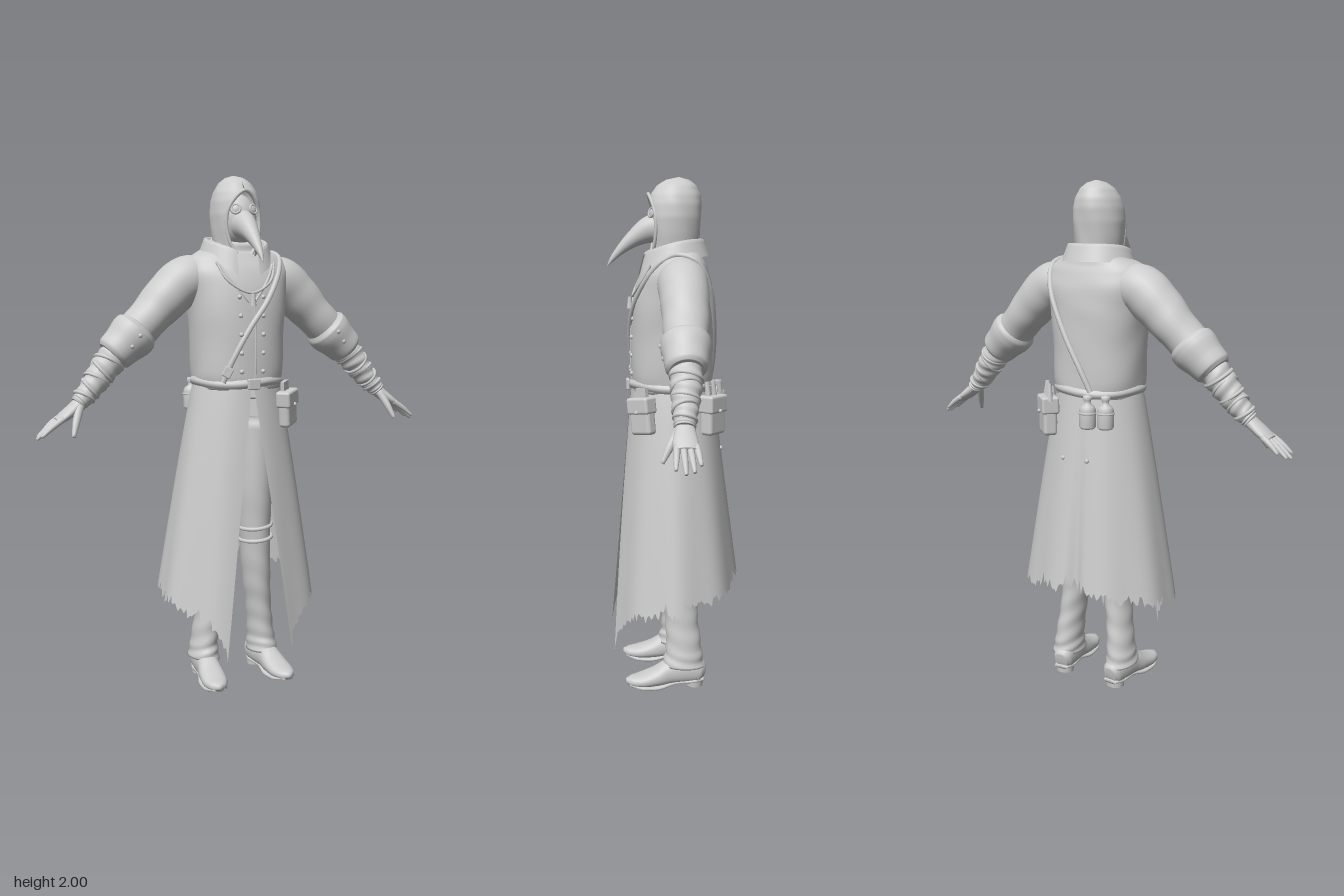
import * as THREE from 'three';
import { mergeVertices } from 'three/addons/utils/BufferGeometryUtils.js';
import { RoundedBoxGeometry } from 'three/addons/geometries/RoundedBoxGeometry.js';

const V = (x, y, z) => new THREE.Vector3(x, y, z);
const TAU = Math.PI * 2;
const clay = new THREE.MeshStandardMaterial({ color: 0xcccccc, side: THREE.DoubleSide });
clay.name = 'light grey';

// Small seeded generator for the torn hem
let seed = 11;
const rnd = () => (seed = (seed * 16807) % 2147483647) / 2147483647;

// Linear lookup in rows sorted by their first value
function lookup(rows, k) {
  const up = rows[0][0] < rows[rows.length - 1][0];
  let i = 0;
  while (i < rows.length - 2 && (up ? k > rows[i + 1][0] : k < rows[i + 1][0])) i++;
  const a = rows[i], b = rows[i + 1];
  const t = THREE.MathUtils.clamp((k - a[0]) / (b[0] - a[0]), 0, 1);
  return a.map((v, j) => v + (b[j] - v) * t);
}

// Grid surface from f(u, v), both 0..1
function sheet(nu, nv, f) {
  const pos = [], idx = [];
  for (let i = 0; i <= nu; i++) for (let j = 0; j <= nv; j++) pos.push(...f(i / nu, j / nv).toArray());
  for (let i = 0; i < nu; i++) for (let j = 0; j < nv; j++) {
    const a = i * (nv + 1) + j, b = a + nv + 1;
    idx.push(a, b, a + 1, b, b + 1, a + 1);
  }
  let g = new THREE.BufferGeometry();
  g.setAttribute('position', new THREE.Float32BufferAttribute(pos, 3));
  g.setIndex(idx);
  g = mergeVertices(g, 1e-5);
  g.computeVertexNormals();
  return g;
}

// Closed body swept through rows [x, y, z, a, b]; ref is the direction of radius b
function loft(rows, { ref = V(0, 0, 1), p = 2, nu = 32, nv = 28, fold = () => 1 } = {}) {
  const path = new THREE.CatmullRomCurve3(rows.map(r => V(r[0], r[1], r[2])));
  const radii = new THREE.CatmullRomCurve3(rows.map(r => V(r[3], r[4], 0)));
  const pw = c => Math.sign(c) * Math.abs(c) ** (2 / p);
  return sheet(nu + 2, nv, (u, v) => {
    const k = Math.round(u * (nu + 2)), t = THREE.MathUtils.clamp((k - 1) / nu, 0, 1);
    const c = path.getPoint(t);
    if (k === 0 || k === nu + 2) return c;
    const T = path.getTangent(t), N = ref.clone().addScaledVector(T, -T.dot(ref)).normalize();
    const B = T.clone().cross(N), r = radii.getPoint(t), th = (v % 1) * TAU, m = fold(t, th);
    return c.addScaledVector(B, r.x * m * pw(Math.cos(th))).addScaledVector(N, r.y * m * pw(Math.sin(th)));
  });
}

const cord = (pts, r, n = 40) => new THREE.TubeGeometry(new THREE.CatmullRomCurve3(pts), n, r, 8);

// Torso rows: y, half width, half depth, centre z
const TORSO = [[1.19, .17, .155, 0], [1.25, .179, .16, 0], [1.4, .184, .16, 0], [1.53, .196, .155, -.005],
  [1.62, .212, .138, -.015], [1.68, .2, .112, -.02], [1.72, .13, .095, -.02], [1.76, .08, .08, -.01]];
const onTorso = (phi, y, off = 0) => {
  const [, a, b, z] = lookup(TORSO, y), s = Math.sin(phi), c = Math.cos(phi), e = 2 / 2.3;
  return V((a + off) * Math.sign(s) * Math.abs(s) ** e, y, z + (b + off) * Math.sign(c) * Math.abs(c) ** e);
};

export function createModel() {
  const root = new THREE.Group();
  const add = (name, geo, pos = V(0, 0, 0), rot = [0, 0, 0]) => {
    const m = new THREE.Mesh(geo, clay);
    m.name = name; m.position.copy(pos); m.rotation.set(...rot);
    root.add(m);
    return m;
  };

  // Coat body
  add('coatBody', loft(TORSO.map(([y, a, b, z]) => [0, y, z, a, b]), { p: 2.3, nv: 48,
    fold: (u, th) => 1 + .006 * Math.sin(u * 30 + 3 * Math.sin(th * 2)) }));

  // Coat skirt, open at the front, with a torn hem
  const cols = 180, tear = [];
  for (let j = 0; j <= cols; j++) tear.push((rnd() - .5) * .035 + .022 * Math.abs(((j * .13) % 2) - 1) + (rnd() > .9 ? .035 : 0));
  add('coatSkirt', sheet(24, cols, (u, v) => {
    const d = 2 * Math.min(v, 1 - v);
    const hem = .3 + .15 * d - .14 * Math.exp(-d / .05) + tear[Math.round(v * cols)];
    const y = 1.21 + (hem - 1.21) * u, t = (1.21 - y) / .9;
    const rx = .172 + .16 * t ** .9;
    const gap = Math.asin((.004 + .115 * t) / rx), phi = gap + v * (TAU - 2 * gap);
    const back = Math.exp(-(((phi - Math.PI - .12) / .09) ** 2));
    const m = 1 + t * (.018 * Math.sin(phi * 9) - .1 * back);
    const rz = Math.cos(phi) > 0 ? .158 + .09 * t : .162 + .115 * t;
    return V(rx * m * Math.sin(phi), y, rz * m * Math.cos(phi));
  }));

  // Belt and buckle
  add('belt', sheet(6, 64, (u, v) => {
    const a = v * TAU, k = .176 + .009 * Math.sin(u * Math.PI);
    return V(k * Math.sin(a), 1.232 - .034 * u + .005 * Math.sin(a * 3), (k - .013) * Math.cos(a));
  }));
  add('buckle', new RoundedBoxGeometry(.05, .042, .015, 2, .005), V(0, 1.213, .172));

  // Collar folded over around the neck
  const COLLAR = [[0, .08, 1.69, .06], [.45, .11, 1.77, .05], [.55, .122, 1.772, .05], [1, .148, 1.705, .07]];
  add('collar', sheet(14, 60, (u, v) => {
    const gap = .3 + .12 * (1 - u), phi = gap + v * (TAU - 2 * gap), f = (1 + Math.cos(phi)) / 2;
    const [, r, y, drop] = lookup(COLLAR, u);
    return V(r * Math.sin(phi), y - drop * f * f - .02 * u * Math.exp(-v * (1 - v) * 40), -.005 + r * .96 * Math.cos(phi));
  }));

  // Hood: y, half width, half depth, half opening
  const HOOD = [[2, .004, .004, 0], [1.99, .036, .045, 0], [1.97, .062, .075, 0], [1.935, .083, .096, .004], [1.9, .093, .104, .045],
    [1.85, .098, .104, .063], [1.79, .094, .1, .066], [1.73, .086, .096, .05], [1.68, .085, .09, .03]];
  add('hood', sheet(36, 48, (u, v) => {
    const [y, a, b, o] = lookup(HOOD, 2 - .32 * u ** 1.4), gap = Math.asin(Math.min(o / a, .9));
    const phi = gap + v * (TAU - 2 * gap), m = 1 + .012 * Math.sin(phi * 7 + y * 25);
    return V(a * m * Math.sin(phi), y, -.008 - .02 * (1 - u) ** 3 + b * m * Math.cos(phi));
  }));
  add('hoodRim', cord([[-.03, 1.7], [-.058, 1.75], [-.068, 1.82], [-.056, 1.88], [0, 1.938], [.056, 1.88], [.068, 1.82], [.058, 1.75], [.03, 1.7]]
    .map(([x, y]) => V(x, y, .083 - 4 * x * x + (y > 1.9 ? .006 : 0))), .007));

  // Mask with a curved beak and round eyepieces
  add('mask', new THREE.SphereGeometry(1, 32, 24).scale(.076, .1, .08), V(0, 1.83, .005));
  add('beak', loft([[0, 1.815, .04, .055, .06], [0, 1.803, .09, .043, .05], [0, 1.775, .14, .031, .034],
    [0, 1.735, .19, .019, .02], [0, 1.695, .228, .009, .01], [0, 1.67, .246, .002, .002]], { ref: V(0, 1, 0) }));
  for (const s of [-1, 1]) {
    add('eyeRing', new THREE.TorusGeometry(.017, .005, 8, 24), V(s * .036, 1.868, .079), [-.25, s * .4, 0]);
    add('eyeLens', new THREE.SphereGeometry(.016, 16, 10).scale(1, 1, .4), V(s * .036, 1.868, .078), [-.25, s * .4, 0]);
  }

  // Chest details: lapels, front seam, necklace, buttons
  for (const s of [-1, 1]) {
    add('lapelEdge', cord([onTorso(s * .5, 1.66, .004), onTorso(s * .3, 1.6, .003), onTorso(s * .03, 1.52, .002)], .006));
    for (let i = 0; i < 5; i++)
      add('button', new THREE.SphereGeometry(.009, 12, 8), onTorso(s * .2, 1.26 + i * .07, 0));
  }
  add('frontSeam', cord([1.52, 1.42, 1.32, 1.22].map(y => onTorso(.04, y, 0)), .004));
  add('necklace', cord([[-.55, 1.67], [-.36, 1.6], [0, 1.555], [.36, 1.6], [.55, 1.67]].map(([a, y]) => onTorso(a, y, .008)), .005));
  add('pendant', new THREE.CylinderGeometry(.007, .012, .045, 10), onTorso(0, 1.53, .012));

  // Shoulder strap, over the left shoulder to the right hip, front and back
  add('shoulderStrap', cord([[-.62, 1.22], [-.4, 1.3], [-.05, 1.42], [.3, 1.53], [.62, 1.63], [1, 1.69], [1.5, 1.71],
    [2.05, 1.69], [2.45, 1.6], [2.85, 1.44], [3.2, 1.3], [3.4, 1.22]].map(([a, y]) => onTorso(a, y, .003)), .011, 80));
  add('strapBuckle', new RoundedBoxGeometry(.035, .04, .015, 2, .004), onTorso(-.5, 1.26, .01), [0, -.35, -.5]);

  // Pouches with flaps
  function pouch(name, pos, yaw, roll, w, h, d) {
    const g = new THREE.Group();
    g.name = name; g.position.copy(pos); g.rotation.set(0, yaw, roll);
    const piece = (n, geo, y, z) => {
      const m = new THREE.Mesh(geo, clay);
      m.name = n; m.position.set(0, y, z); g.add(m);
    };
    piece('pouchBody', new RoundedBoxGeometry(w, h, d, 3, .014), 0, 0);
    piece('pouchFlap', new RoundedBoxGeometry(w * 1.07, h * .45, d + .014, 3, .01), h * .29, 0);
    piece('pouchButton', new THREE.SphereGeometry(.008, 10, 8), h * .12, d / 2 + .008);
    piece('beltLoop', new THREE.BoxGeometry(w * .5, .06, .015), h * .55, -d * .2);
    root.add(g);
  }
  pouch('frontPouch', V(.165, 1.11, .125), .75, .12, .1, .14, .045);
  pouch('backPouch', V(.15, 1.11, -.145), 2.4, 0, .1, .15, .055);
  for (let i = 0; i < 3; i++)
    add('vial', new THREE.CylinderGeometry(.009, .011, .07, 10), V(.12 + i * .026, 1.205, -.175 + i * .026), [.1, 0, -.1 + i * .1]);

  // Flasks hanging at the back
  const flask = [[0, 0], [.026, 0], [.032, .008], [.032, .07], [.026, .085], [.013, .095], [.013, .108], [.017, .11], [.017, .125], [0, .128]];
  for (const [x, z] of [[-.065, -.192], [-.128, -.165]]) {
    add('flask', new THREE.LatheGeometry(flask.map(([r, y]) => new THREE.Vector2(r, y)), 20), V(x, 1.09, z));
    add('flaskBand', new THREE.TorusGeometry(.032, .004, 6, 20), V(x, 1.15, z), [Math.PI / 2, 0, 0]);
  }
  for (const x of [-.06, .05]) add('backButton', new THREE.SphereGeometry(.009, 10, 8), V(x, .96, -.19));

  for (const s of [-1, 1]) {
    // Sleeve, turned cuff and wrapped forearm
    add('sleeve', loft([[s * .12, 1.62, -.025, .075, .085], [s * .2, 1.602, -.025, .093, .094], [s * .27, 1.545, -.025, .09, .09],
      [s * .34, 1.475, -.022, .079, .084], [s * .42, 1.395, -.015, .074, .076]],
    { fold: (u, th) => 1 + .02 * Math.sin(u * 22 + 2 * Math.sin(th)) * u }));
    add('cuff', loft([[s * .39, 1.425, -.015, .074, .076], [s * .405, 1.41, -.015, .09, .09], [s * .42, 1.396, -.014, .091, .09],
      [s * .46, 1.36, -.012, .079, .08], [s * .492, 1.332, -.01, .073, .074], [s * .503, 1.322, -.01, .06, .06]]));
    for (const k of [0, 1]) add('cuffButton', new THREE.SphereGeometry(.009, 10, 8), V(s * (.415 + k * .03), 1.4 - k * .04, .073 - k * .008));
    add('forearm', loft([[s * .47, 1.345, -.01, .058, .06], [s * .53, 1.28, -.005, .054, .055], [s * .58, 1.215, .002, .045, .047],
      [s * .625, 1.165, .008, .034, .038], [s * .64, 1.15, .01, .03, .036]],
    { nu: 60, fold: (u, th) => 1 + .05 * Math.sin(u * 48 + 2 * Math.sin(th + 1)) }));
    for (let i = 0; i < 5; i++) {
      const t = i / 4, r = .055 - .017 * t;
      add('armWrap', new THREE.TorusGeometry(r, .007, 8, 28), V(s * (.515 + .1 * t), 1.298 - .122 * t, -.007 + .014 * t),
        [Math.PI / 2 + (i % 2 ? .25 : -.25), s * (.7 + (i % 2 ? .15 : -.15)), 0]);
    }

    // Hand with spread fingers
    add('palm', loft([[s * .615, 1.17, .008, .026, .03], [s * .65, 1.14, .01, .023, .036], [s * .69, 1.11, .012, .02, .043],
      [s * .72, 1.09, .012, .014, .04]]));
    [[-.022, -.032, .765, 1.05], [0, -.008, .79, 1.033], [.022, .02, .797, 1.028], [.042, .052, .785, 1.04]].forEach(([z0, z1, x, y]) =>
      add('finger', loft([[s * .7, 1.103, z0, .012, .012], [s * (.35 + x / 2), .555 + y / 2, (z0 + z1) / 2, .011, .011],
        [s * x, y, z1, .006, .006]], { nu: 10, nv: 12 })));
    add('thumb', loft([[s * .637, 1.145, .03, .016, .016], [s * .66, 1.09, .062, .014, .014], [s * .677, 1.04, .088, .007, .007]],
      { ref: V(1, 0, 0), nu: 12, nv: 12 }));

    // Trouser leg, knee straps and boot
    add('leg', loft([[s * .08, 1.05, -.01, .08, .095], [s * .08, .8, -.01, .075, .09], [s * .085, .6, -.01, .062, .075], [s * .097, .42, -.02, .056, .072],
      [s * .113, .27, -.03, .05, .066], [s * .126, .15, -.038, .053, .072], [s * .13, .085, -.035, .06, .085]],
    { nu: 60, fold: (u, th) => 1 + .035 * Math.sin(u * 55 + 3 * Math.sin(th + s)) * u }));
    for (const [y, x] of [[.62, .085], [.57, .087]])
      add('kneeStrap', new THREE.TorusGeometry(.066, .008, 8, 30).scale(1, 1.18, 1), V(s * x, y, -.011), [Math.PI / 2, .1 * s, 0]);
    const yaw = s * .1, foot = V(s * .132, 0, 0);
    add('boot', loft([[0, .055, -.12, .026, .03], [0, .06, -.1, .042, .048], [0, .066, -.04, .046, .054], [0, .062, .02, .045, .05],
      [0, .048, .07, .05, .037], [0, .037, .13, .049, .026], [0, .036, .175, .033, .019], [0, .04, .197, .008, .008]],
    { ref: V(0, 1, 0), p: 2.3 }), foot, [0, yaw, 0]);
    add('bootSole', loft([[0, .028, -.118, .03, .008], [0, .026, -.07, .043, .008], [0, .024, 0, .038, .008], [0, .012, .07, .05, .01],
      [0, .014, .13, .049, .01], [0, .026, .185, .024, .008]], { ref: V(0, 1, 0), p: 3 }), foot, [0, yaw, 0]);
    add('bootHeel', new THREE.CylinderGeometry(.04, .037, .032, 20).scale(1, 1, .9), foot.clone().add(V(-s * .008, .016, -.082)));
  }
  return root;
}
